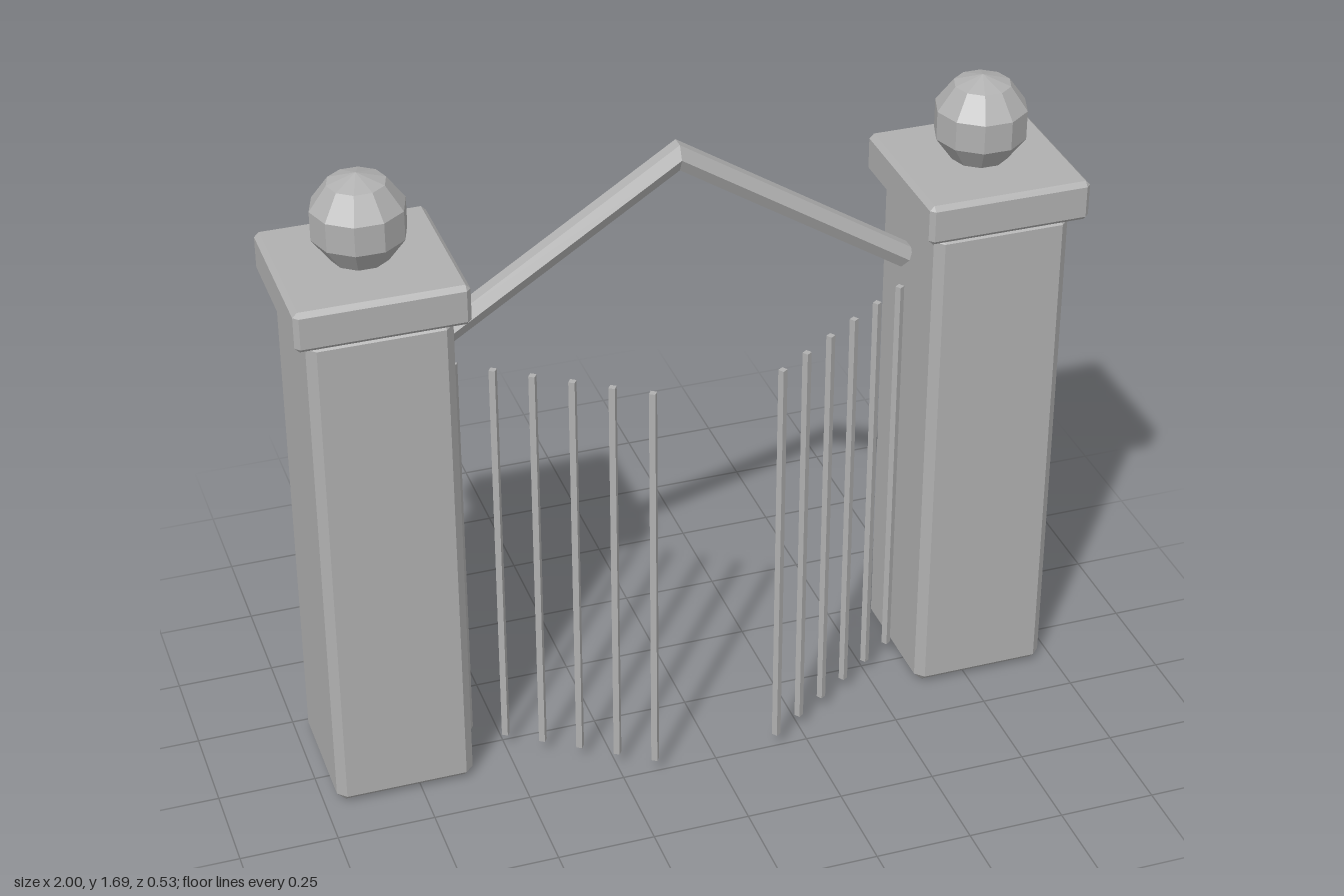
import * as THREE from 'three';
import { ConvexGeometry } from 'three/addons/geometries/ConvexGeometry.js';

// Box with single flat chamfers on every edge
function chamferBox(w, h, d, c) {
  const pts = [];
  for (const x of [-1, 1]) for (const y of [-1, 1]) for (const z of [-1, 1]) {
    for (const full of [0, 1, 2]) {
      pts.push(new THREE.Vector3(
        x * (w / 2 - (full === 0 ? 0 : c)),
        y * (h / 2 - (full === 1 ? 0 : c)),
        z * (d / 2 - (full === 2 ? 0 : c))));
    }
  }
  return new ConvexGeometry(pts);
}

// Six-sided bar leaning from a pillar to the ridge, mitred on x = 0
function archBar(side) {
  const start = new THREE.Vector3(side * 0.6, 1.222, 0);
  const end = new THREE.Vector3(0, 1.605, 0);
  const dir = end.clone().sub(start);
  const len = dir.length();
  dir.normalize();
  const geo = new THREE.CylinderGeometry(0.033, 0.033, len, 6);
  geo.translate(0, len / 2, 0);
  const pos = geo.attributes.position;
  const turn = new THREE.Quaternion().setFromUnitVectors(new THREE.Vector3(0, 1, 0), dir);
  const v = new THREE.Vector3();
  for (let i = 0; i < pos.count; i++) {
    v.fromBufferAttribute(pos, i);
    const atRidge = v.y > len / 2;
    v.applyQuaternion(turn).add(start);
    if (atRidge) v.addScaledVector(dir, -v.x / dir.x);
    pos.setXYZ(i, v.x, v.y, v.z);
  }
  geo.computeVertexNormals();
  return geo;
}

export function createModel() {
  const model = new THREE.Group();
  model.name = 'gateway';
  const stone = new THREE.MeshStandardMaterial({ color: 0xb0b0b0 });
  stone.name = 'grey stone';
  stone.flatShading = true;

  const add = (parent, name, geo, x, y, z) => {
    const mesh = new THREE.Mesh(geo, stone);
    mesh.name = name;
    mesh.position.set(x, y, z);
    parent.add(mesh);
    return mesh;
  };

  const zPillar = -0.052;
  const shaft = chamferBox(0.357, 1.36, 0.357, 0.022);
  const cap = chamferBox(0.424, 0.106, 0.424, 0.012);
  const ball = new THREE.SphereGeometry(0.1225, 10, 5);
  const picket = new THREE.BoxGeometry(0.016, 1.105, 0.016);

  for (const side of [1, -1]) {
    const label = side > 0 ? 'left' : 'right';

    // Pillar with cap and ball finial
    const pillar = new THREE.Group();
    pillar.name = label + 'Pillar';
    model.add(pillar);
    add(pillar, 'shaft', shaft, side * 0.788, 0.68, zPillar);
    add(pillar, 'cap', cap, side * 0.788, 1.412, zPillar);
    add(pillar, 'ballFinial', ball, side * 0.788, 1.571, zPillar);

    // Half of the pointed arch
    add(model, label + 'ArchBar', archBar(side), 0, 0, zPillar);

    // Open gate leaf of six pickets, swung forward
    const leaf = new THREE.Group();
    leaf.name = label + 'GateLeaf';
    model.add(leaf);
    for (let i = 0; i < 6; i++) {
      const bar = add(leaf, 'picket', picket, side * (0.581 - 0.0832 * i), 0.5925, -0.03 + 0.0562 * i);
      bar.rotation.y = side * 0.594;
    }
  }
  return model;
}
